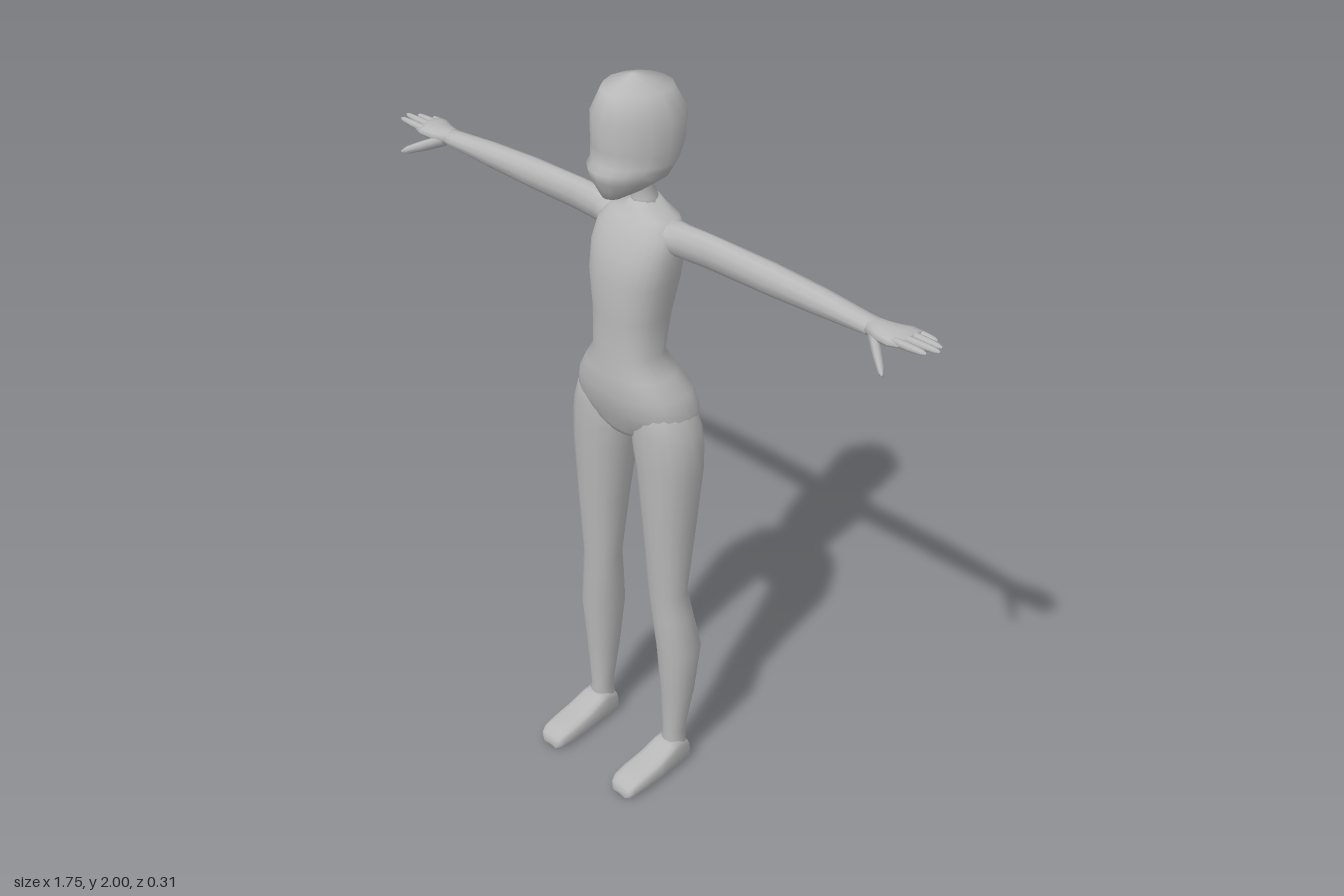
import * as THREE from 'three';

const grey = new THREE.MeshStandardMaterial({ color: 0xb8b8b8 });
grey.name = 'plain grey';

// Skin a list of closed rings, cap both ends and face the result outward.
function loft(rings) {
  const n = rings[0].length, pts = rings.flat(), idx = [];
  for (let r = 0; r < rings.length - 1; r++) {
    for (let i = 0; i < n; i++) {
      const a = r * n + i, b = r * n + (i + 1) % n;
      idx.push(a, b, a + n, b, b + n, a + n);
    }
  }
  [[rings[0], 0, false], [rings[rings.length - 1], (rings.length - 1) * n, true]].forEach(([ring, base, end]) => {
    const c = new THREE.Vector3();
    ring.forEach((p) => c.addScaledVector(p, 1 / n));
    pts.push(c);
    for (let i = 0; i < n; i++) {
      const a = base + i, b = base + (i + 1) % n;
      if (end) idx.push(a, b, pts.length - 1);
      else idx.push(b, a, pts.length - 1);
    }
  });
  let volume = 0;
  for (let i = 0; i < idx.length; i += 3) {
    volume += pts[idx[i]].dot(pts[idx[i + 1]].clone().cross(pts[idx[i + 2]]));
  }
  if (volume < 0) idx.reverse();
  const g = new THREE.BufferGeometry().setFromPoints(pts);
  g.setIndex(idx);
  g.computeVertexNormals();
  return g;
}

// Sample a ring: fn receives cos and sin, squared off by the exponent.
function ring(n, fn, power = 1) {
  const soft = (v) => Math.sign(v) * Math.abs(v) ** power;
  return Array.from({ length: n }, (_, i) => {
    const a = (i / n) * Math.PI * 2;
    return fn(soft(Math.cos(a)), soft(Math.sin(a)));
  });
}

const V = (x, y, z) => new THREE.Vector3(x, y, z);

// Rows: height, half width, front z, back z, depth of the groove down the back
const TORSO = [
  [1.685, 0.03, -0.03, -0.105, 0], [1.665, 0.05, -0.02, -0.118, 0],
  [1.652, 0.095, -0.005, -0.125, 0.004], [1.62, 0.118, 0.02, -0.13, 0.01],
  [1.57, 0.122, 0.045, -0.132, 0.018], [1.5, 0.113, 0.063, -0.13, 0.02],
  [1.4, 0.098, 0.06, -0.108, 0.015], [1.3, 0.091, 0.063, -0.092, 0.012],
  [1.25, 0.125, 0.068, -0.112, 0.015], [1.2, 0.158, 0.07, -0.146, 0.035],
  [1.15, 0.174, 0.06, -0.157, 0.055], [1.115, 0.168, 0.046, -0.157, 0.06],
  [1.085, 0.125, 0.036, -0.138, 0.06], [1.065, 0.07, 0.025, -0.1, 0.03],
  [1.055, 0.025, 0, -0.06, 0],
];

// Rows: height, half width, front z, back z
const HEAD = [
  [2.0, 0.008, -0.02, -0.04], [1.972, 0.08, 0.055, -0.125], [1.915, 0.111, 0.078, -0.155],
  [1.84, 0.109, 0.077, -0.148], [1.805, 0.104, 0.078, -0.134], [1.793, 0.101, 0.095, -0.13],
  [1.768, 0.09, 0.088, -0.115], [1.745, 0.062, 0.077, -0.06], [1.722, 0.025, 0.066, 0.02],
];

const NECK = [
  [1.78, 0.03, -0.02, -0.085], [1.72, 0.028, -0.03, -0.085],
  [1.69, 0.03, -0.03, -0.098], [1.65, 0.05, -0.025, -0.11],
];

// Rows: height, inner x, outer x, front z, back z
const LEG = [
  [1.2, 0.05, 0.14, 0.02, -0.1], [1.15, 0.03, 0.172, 0.038, -0.12],
  [1.1, 0.014, 0.19, 0.04, -0.13], [1.05, 0.016, 0.198, 0.039, -0.132],
  [0.98, 0.03, 0.2, 0.036, -0.128], [0.8, 0.053, 0.187, 0.026, -0.11],
  [0.6, 0.068, 0.176, 0.01, -0.085], [0.52, 0.075, 0.186, 0.005, -0.1],
  [0.41, 0.088, 0.202, 0, -0.12], [0.25, 0.102, 0.187, -0.013, -0.105],
  [0.12, 0.111, 0.172, -0.02, -0.082], [0.07, 0.11, 0.174, -0.015, -0.085],
  [0.03, 0.11, 0.176, -0.02, -0.08],
];

// Rows: z, inner x, outer x, top height
const FOOT = [
  [-0.092, 0.118, 0.165, 0.04], [-0.08, 0.107, 0.178, 0.07], [-0.04, 0.1, 0.184, 0.095],
  [-0.01, 0.098, 0.186, 0.088], [0.04, 0.096, 0.188, 0.068], [0.1, 0.094, 0.187, 0.056],
  [0.14, 0.097, 0.183, 0.047], [0.155, 0.104, 0.177, 0.034], [0.16, 0.115, 0.165, 0.02],
];

// Rows: x, centre y, centre z, half height, half depth
const ARM = [
  [0.05, 1.617, -0.065, 0.03, 0.045], [0.1, 1.613, -0.063, 0.041, 0.044],
  [0.14, 1.615, -0.062, 0.042, 0.034], [0.22, 1.618, -0.062, 0.042, 0.03],
  [0.4, 1.615, -0.067, 0.039, 0.033], [0.55, 1.615, -0.065, 0.032, 0.031],
  [0.68, 1.615, -0.061, 0.022, 0.028], [0.71, 1.616, -0.06, 0.02, 0.03],
];
const PALM = [
  [0.69, 1.616, -0.06, 0.02, 0.027], [0.73, 1.617, -0.057, 0.02, 0.038],
  [0.77, 1.621, -0.06, 0.016, 0.049], [0.795, 1.624, -0.062, 0.01, 0.046],
];

// Base and tip positions, then base radius
const FINGERS = [
  [[0.775, 1.621, -0.098], [0.832, 1.616, -0.107], 0.009],
  [[0.78, 1.624, -0.076], [0.862, 1.622, -0.082], 0.01],
  [[0.78, 1.625, -0.052], [0.876, 1.628, -0.055], 0.01],
  [[0.775, 1.625, -0.028], [0.862, 1.63, -0.026], 0.01],
];
const THUMB = [[0.705, 1.611, -0.045], [0.797, 1.574, 0.03], 0.016];

function armRings(rows, side, n = 12) {
  return rows.map(([x, y, z, h, d]) => ring(n, (c, s) => V(side * x, y + h * s, z + d * c)));
}

function fingerRings([base, tip, r], side) {
  const rows = [[0, 1], [0.5, 0.95], [0.88, 0.7], [1, 0.25]].map(([t, k]) => {
    const [x, y, z] = base.map((v, i) => v + (tip[i] - v) * t);
    return [x, y, z, r * k, r * k];
  });
  return armRings(rows, side, 8);
}

export function createModel() {
  const model = new THREE.Group();
  model.name = 'figure';
  const add = (name, rings, parent = model) => {
    const mesh = new THREE.Mesh(loft(rings), grey);
    mesh.name = name;
    parent.add(mesh);
  };

  // Trunk with a spine groove that deepens between the buttocks
  add('torso', TORSO.map(([y, w, f, b, g]) => ring(28, (c, s) => {
    const x = w * c;
    const groove = s < 0 ? -s * g * Math.exp(-((x / 0.028) ** 2)) : 0;
    return V(x, y, (f + b) / 2 + ((f - b) / 2) * s + groove);
  }, 0.85)));

  add('neck', NECK.map(([y, w, f, b]) => ring(12, (c, s) => V(w * c, y, (f + b) / 2 + ((f - b) / 2) * s))));

  // Head narrows towards the face
  add('head', HEAD.map(([y, w, f, b]) => ring(16, (c, s) =>
    V(w * c * (1 - 0.2 * Math.max(s, 0)), y, (f + b) / 2 + ((f - b) / 2) * s), 0.92)));

  for (const [word, side] of [['left', 1], ['right', -1]]) {
    add(word + 'Leg', LEG.map(([y, i, o, f, b]) => ring(16, (c, s) =>
      V(side * ((i + o) / 2 + ((o - i) / 2) * c), y, (f + b) / 2 + ((f - b) / 2) * s), 0.92)));

    // Foot has a flat sole
    add(word + 'Foot', FOOT.map(([z, i, o, top]) => ring(16, (c, s) =>
      V(side * ((i + o) / 2 + ((o - i) / 2) * c), (top / 2) * (1 + s), z), 0.6)));

    add(word + 'Arm', armRings(ARM, side));

    const hand = new THREE.Group();
    hand.name = word + 'Hand';
    model.add(hand);
    add('palm', armRings(PALM, side), hand);
    FINGERS.forEach((f) => add('finger', fingerRings(f, side), hand));
    add('thumb', fingerRings(THUMB, side), hand);
  }
  return model;
}
